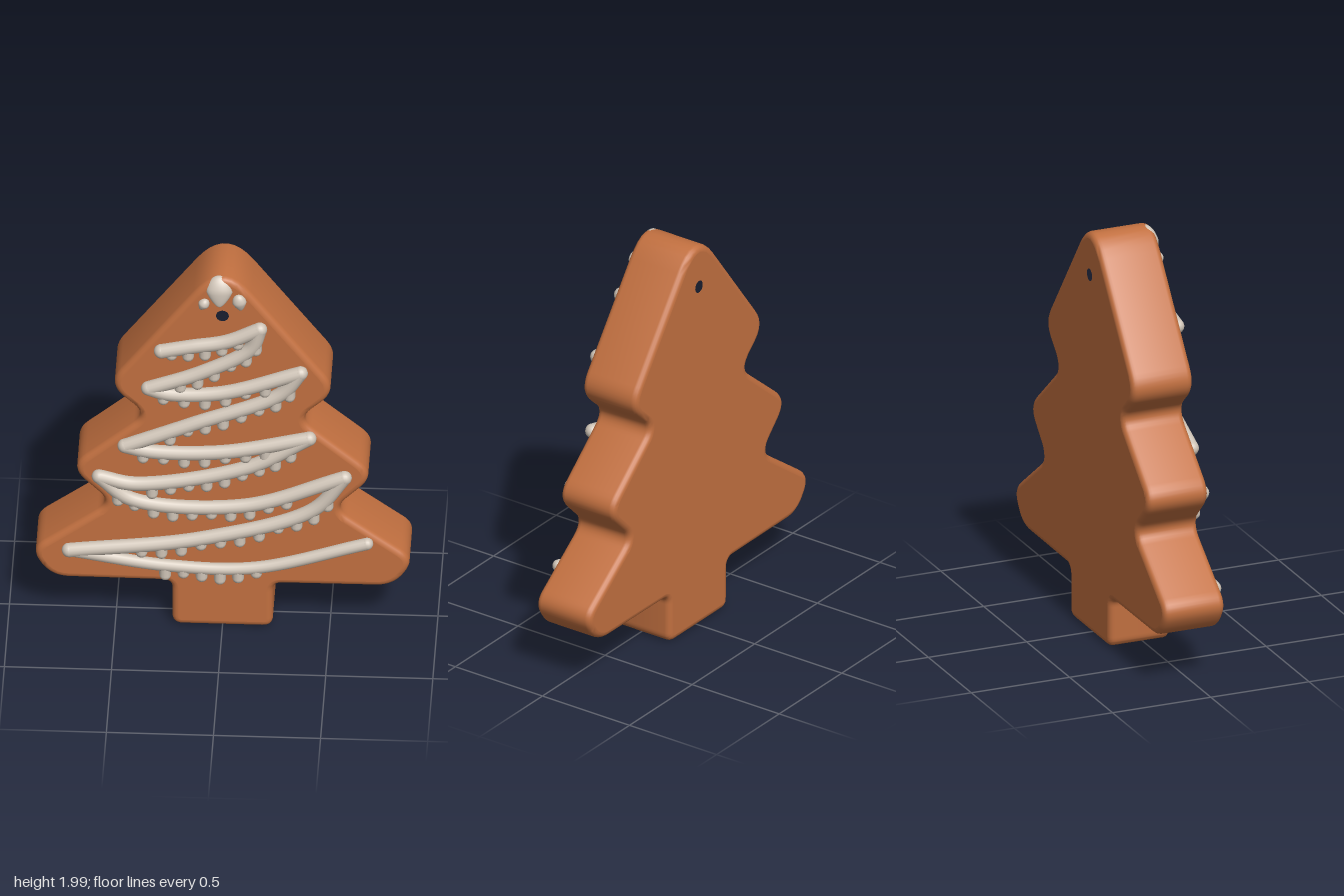
import * as THREE from 'three';
import { toCreasedNormals } from 'three/addons/utils/BufferGeometryUtils.js';

const biscuit = new THREE.MeshStandardMaterial({ color: 0xc27040 });
biscuit.name = 'gingerbread brown';
const icing = new THREE.MeshStandardMaterial({ color: 0xd0c5b8 });
icing.name = 'icing cream';

const FRONT = 0.13, BACK = -0.18, BEVEL = 0.03;

// Right half of the outline: corner x, y and how far the rounding reaches along each edge
const CORNERS = [
  [0, 2.09, 0.225], [0.54, 1.37, 0.11], [0.355, 1.2, 0.08], [0.72, 0.89, 0.11],
  [0.52, 0.69, 0.08], [0.9, 0.41, 0.085], [0.8, 0.255, 0.085], [0.235, 0.252, 0.045], [0.235, 0.005, 0.05],
];

// Rounded polygon from the mirrored corners
function treePoints() {
  const left = CORNERS.slice(1).reverse().map(([x, y, r]) => [-x, y, r]);
  const all = [...CORNERS, ...left];
  const points = [];
  all.forEach(([x, y, r], i) => {
    const c = new THREE.Vector2(x, y);
    const toward = (n) => {
      const [nx, ny] = all[(i + n + all.length) % all.length];
      return new THREE.Vector2(nx, ny).sub(c).setLength(r).add(c);
    };
    points.push(...new THREE.QuadraticBezierCurve(toward(-1), c, toward(1)).getPoints(9));
  });
  return points;
}

// Thick biscuit slab with soft edges and a hanging hole
function makeBiscuit() {
  const shape = new THREE.Shape(treePoints());
  const hole = new THREE.Path();
  hole.absarc(0, 1.79, 0.06, 0, Math.PI * 2, true);
  shape.holes.push(hole);
  let geo = new THREE.ExtrudeGeometry(shape, {
    depth: FRONT - BACK - 2 * BEVEL, bevelThickness: BEVEL, bevelSize: BEVEL,
    bevelOffset: -BEVEL, bevelSegments: 4, curveSegments: 24,
  });
  geo.translate(0, 0, BACK + BEVEL);
  geo = toCreasedNormals(geo, 0.8);
  // Keep the two broad faces evenly flat
  const p = geo.attributes.position, n = geo.attributes.normal;
  for (let i = 0; i < p.count; i += 3) {
    for (const z of [FRONT, BACK]) {
      if ([0, 1, 2].every((k) => Math.abs(p.getZ(i + k) - z) < 1e-4)) {
        for (let k = 0; k < 3; k++) n.setXYZ(i + k, 0, 0, Math.sign(z));
      }
    }
  }
  return geo;
}

// One icing zigzag: every third point is a turning tip, with two bends between tips
const ZIGZAG = [
  [-0.285, 1.585], [-0.14, 1.617], [0.02, 1.65],
  [0.175, 1.725], [0.13, 1.61], [-0.1, 1.468],
  [-0.345, 1.37], [-0.25, 1.342], [0, 1.355],
  [0.365, 1.48], [0.27, 1.355], [-0.13, 1.175],
  [-0.455, 1.035], [-0.33, 1.008], [0, 1.015],
  [0.405, 1.105], [0.12, 0.932], [-0.4, 0.82],
  [-0.575, 0.855], [-0.42, 0.73], [0.1, 0.71],
  [0.57, 0.885], [0.42, 0.695], [-0.1, 0.515],
  [-0.715, 0.427], [-0.25, 0.355], [0.15, 0.355],
  [0.675, 0.51],
];

function makeStroke(path, row, isLast) {
  const group = new THREE.Group();
  group.name = 'icingStroke' + (row + 1);
  const radius = isLast ? 0.03 : 0.035;
  const curve = new THREE.CatmullRomCurve3(path.map(([x, y]) => new THREE.Vector3(x, y, FRONT + 0.01)));
  const add = (name, geo, pos = new THREE.Vector3()) => {
    const mesh = new THREE.Mesh(geo, icing);
    mesh.name = name;
    mesh.position.copy(pos);
    group.add(mesh);
  };
  add('icingLine', new THREE.TubeGeometry(curve, 70, radius, 14));
  for (const u of [0, 1]) add('icingEnd', new THREE.SphereGeometry(radius, 16, 12), curve.getPointAt(u));
  // Drips hang from the lower edge in uneven lengths
  const [from, to] = isLast ? [0.32, 0.62] : [0.1, 0.76];
  const gaps = Math.round(curve.getLength() * (to - from) / 0.09);
  for (let i = 0; i <= gaps; i++) {
    const length = 0.03 + 0.028 * Math.abs(Math.sin(i * 2.3 + row * 1.7));
    const at = curve.getPointAt(THREE.MathUtils.lerp(from, to, i / gaps));
    at.y -= length / 2;
    add('icingDrip', new THREE.CapsuleGeometry(0.028, length, 6, 12), at);
  }
  return group;
}

// Blob of icing that narrows toward its bottom end
function makeDrop(name, [w, h, d], [x, y, z], tiltX, tiltZ) {
  const geo = new THREE.SphereGeometry(1, 24, 18);
  const p = geo.attributes.position;
  for (let i = 0; i < p.count; i++) {
    const k = p.getY(i) < 0 ? 1 + p.getY(i) * 0.45 : 1;
    p.setXYZ(i, p.getX(i) * w * k, p.getY(i) * h, p.getZ(i) * d * k);
  }
  geo.computeVertexNormals();
  const mesh = new THREE.Mesh(geo, icing);
  mesh.name = name;
  mesh.position.set(x, y, z);
  mesh.rotation.set(tiltX, 0, tiltZ);
  return mesh;
}

export function createModel() {
  const model = new THREE.Group();
  model.name = 'gingerbreadTree';
  const body = new THREE.Mesh(makeBiscuit(), biscuit);
  body.name = 'biscuit';
  model.add(body);

  const strokes = (ZIGZAG.length - 1) / 3;
  for (let row = 0; row < strokes; row++) {
    model.add(makeStroke(ZIGZAG.slice(row * 3, row * 3 + 4), row, row === strokes - 1));
  }

  // Icing dabs at the tip
  model.add(
    makeDrop('tipDab', [0.063, 0.078, 0.034], [-0.014, 1.925, 0.122], -0.32, 0),
    makeDrop('rightDab', [0.026, 0.033, 0.025], [-0.088, 1.855, 0.132], 0, -0.5),
    makeDrop('leftDab', [0.033, 0.045, 0.026], [0.08, 1.87, 0.132], 0, 0.15),
  );
  return model;
}
